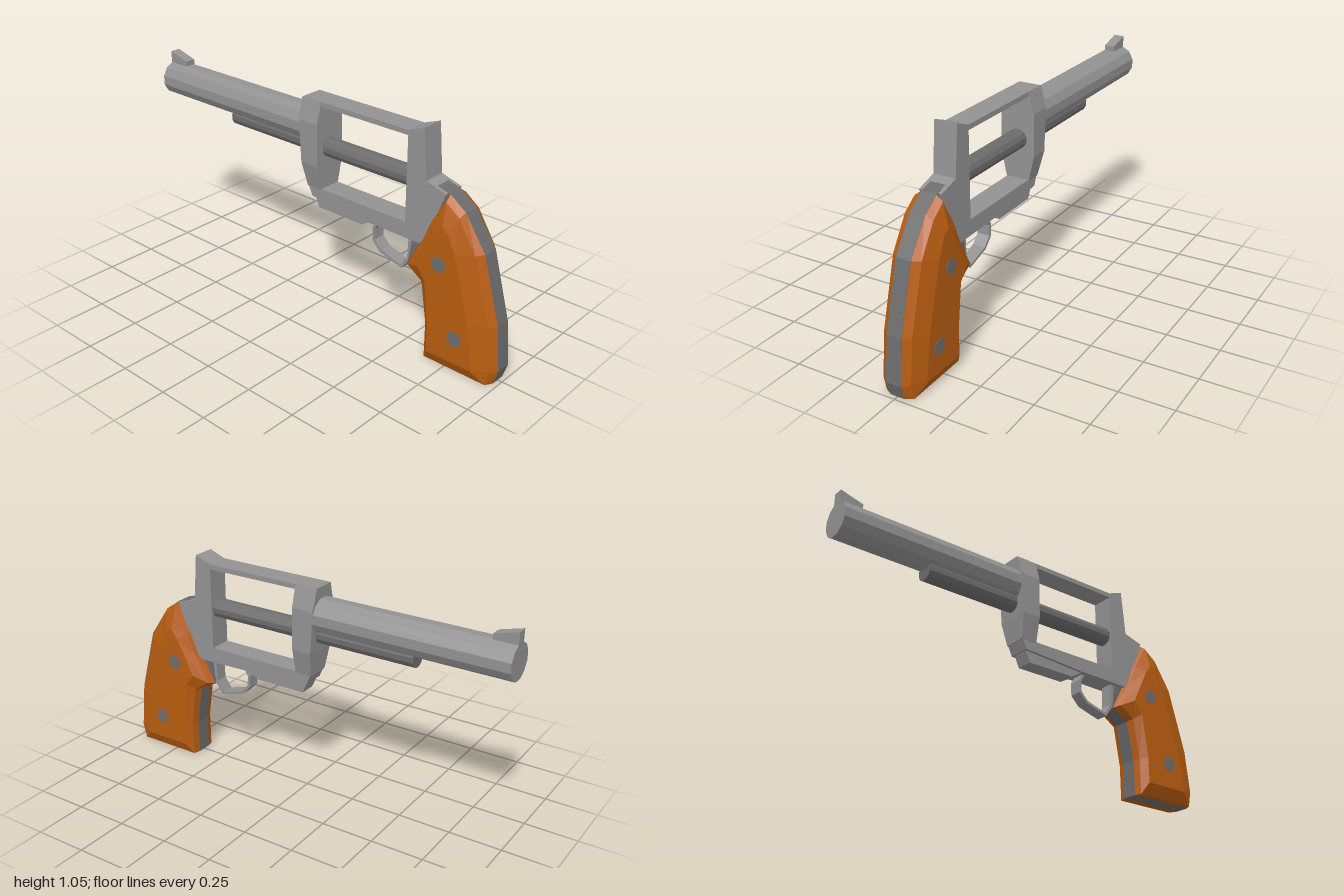
import * as THREE from 'three';

const mat = (name, color) => Object.assign(new THREE.MeshStandardMaterial({ color }), { name });

// Flat-faced solid through rings of [x, y, z] points; axes a, b span the end caps.
function loft(rings, a, b) {
  const n = rings[0].length, tris = [];
  for (let r = 0; r < rings.length - 1; r++) {
    for (let i = 0; i < n; i++) {
      const j = (i + 1) % n, p = rings[r], q = rings[r + 1];
      tris.push([p[i], p[j], q[j]], [p[i], q[j], q[i]]);
    }
  }
  // End caps, wound to agree with the walls
  const area = (p, q, s) => (q[a] - p[a]) * (s[b] - p[b]) - (q[b] - p[b]) * (s[a] - p[a]);
  [rings[0], rings[rings.length - 1]].forEach((ring, end) => {
    const flat = ring.map((p) => new THREE.Vector2(p[a], p[b]));
    const sign = Math.sign(THREE.ShapeUtils.area(flat)) * (end ? 1 : -1);
    for (const f of THREE.ShapeUtils.triangulateShape(flat.slice(), [])) {
      const [p, q, s] = f.map((k) => ring[k]);
      tris.push(Math.sign(area(p, q, s)) === sign ? [p, q, s] : [p, s, q]);
    }
  });
  // Turn the solid outward when its signed volume is negative
  const v = (p) => new THREE.Vector3(...p);
  const volume = tris.reduce((sum, [p, q, s]) => sum + v(p).dot(v(q).cross(v(s))), 0);
  const points = tris.flatMap(([p, q, s]) => (volume > 0 ? [p, q, s] : [p, s, q])).flat();
  const geo = new THREE.BufferGeometry();
  geo.setAttribute('position', new THREE.Float32BufferAttribute(points, 3));
  geo.computeVertexNormals();
  return geo;
}

// Side profile of [z, y] points, extruded symmetrically across x.
function slab(profile, halfWidth, hole) {
  const pts = (list) => list.map(([z, y]) => new THREE.Vector2(-z, y));
  const shape = new THREE.Shape(pts(profile));
  if (hole) shape.holes.push(new THREE.Path(pts(hole)));
  return new THREE.ExtrudeGeometry(shape, { depth: halfWidth * 2, bevelEnabled: false })
    .translate(0, 0, -halfWidth).rotateY(Math.PI / 2);
}

// Faceted rod along z
function rod(radius, y, z0, z1) {
  const geo = new THREE.CylinderGeometry(radius, radius, z1 - z0, 12).toNonIndexed();
  geo.rotateY(Math.PI / 12).rotateX(Math.PI / 2).translate(0, y, (z0 + z1) / 2);
  geo.computeVertexNormals();
  return geo;
}

export function createModel() {
  const steel = mat('steel', 0x929292);
  const darkSteel = mat('dark steel', 0x6c6c6c);
  const wood = mat('wood', 0xb85d10);
  const model = new THREE.Group();
  const add = (name, geo, material) => {
    const mesh = new THREE.Mesh(geo, material);
    mesh.name = name;
    model.add(mesh);
  };

  // Open frame with its rear sight and the tang that runs into the grip
  add('frame', slab(
    [[0.58, 1.05], [0.5, 1.02], [-0.08, 1.02], [-0.065, 0.72], [-0.05, 0.6], [-0.03, 0.555],
      [0.3, 0.535], [0.58, 0.53], [0.62, 0.58], [0.7, 0.795], [0.6, 0.824]],
    0.054, [[0.5, 0.997], [0.5, 0.605], [0.02, 0.605], [0.02, 0.997]]), steel);
  add('lowerFrame', slab([[-0.03, 0.57], [0, 0.5], [0.25, 0.5], [0.32, 0.54], [0.32, 0.57]], 0.04), steel);

  // Wider post that carries the barrel
  const post = [[1.019, 0.055, -0.085], [0.92, 0.083, -0.081], [0.72, 0.083, -0.069], [0.6, 0.056, -0.055]];
  add('barrelPost', loft(post.map(([y, w, z]) =>
    [[-w, y, 0.026], [w, y, 0.026], [w, y, z], [-w, y, z]]), 0, 2), steel);

  add('barrel', rod(0.084, 0.885, -1, -0.04), steel);
  add('ejectorRod', rod(0.046, 0.795, -0.555, 0.52), darkSteel);
  add('frontSight', slab([[-0.89, 0.955], [-0.89, 0.99], [-1, 1.02], [-1, 0.955]], 0.025), steel);

  // Trigger guard
  add('triggerGuard', slab(
    [[0.525, 0.545], [0.515, 0.42], [0.472, 0.36], [0.35, 0.395], [0.307, 0.44], [0.305, 0.5], [0.33, 0.545]],
    0.03, [[0.505, 0.535], [0.5, 0.425], [0.466, 0.374], [0.357, 0.407], [0.32, 0.446], [0.318, 0.496], [0.34, 0.535]]),
  steel);

  // Metal core that shows along the edges of the grip
  const outline = [[0.71, 0.795], [0.79, 0.738], [0.895, 0.585], [0.98, 0.28], [1, 0.07], [0.978, 0],
    [0.63, 0], [0.63, 0.17], [0.598, 0.36], [0.51, 0.41], [0.585, 0.55], [0.63, 0.66]];
  add('gripCore', slab([[0.6, 0.822], ...outline.slice(0, 10), [0.53, 0.535]], 0.036), darkSteel);

  // Bevelled wooden panels with round screw heads
  const face = [[0.72, 0.67], [0.75, 0.65], [0.79, 0.56], [0.87, 0.27], [0.9, 0.08], [0.9, 0.055],
    [0.67, 0.055], [0.67, 0.18], [0.645, 0.39], [0.6, 0.45], [0.65, 0.55], [0.685, 0.62]];
  const shoulder = outline.map(([z, y], i) => [z + (face[i][0] - z) * 0.25, y === 0 ? 0 : y + (face[i][1] - y) * 0.2]);
  for (const [label, s] of [['left', 1], ['right', -1]]) {
    const ring = (list, x) => list.map(([z, y]) => [s * x, y, z]);
    add(label + 'GripPanel', loft([ring(outline, 0.034), ring(shoulder, 0.068), ring(face, 0.096)], 2, 1), wood);
    [[0.71, 0.495], [0.81, 0.175]].forEach(([z, y], i) => {
      const head = new THREE.CylinderGeometry(0.036, 0.036, 0.006, 10).rotateZ(Math.PI / 2);
      add(label + 'GripScrew' + (i + 1), head.translate(s * 0.095, y, z), darkSteel);
    });
  }
  return model;
}
